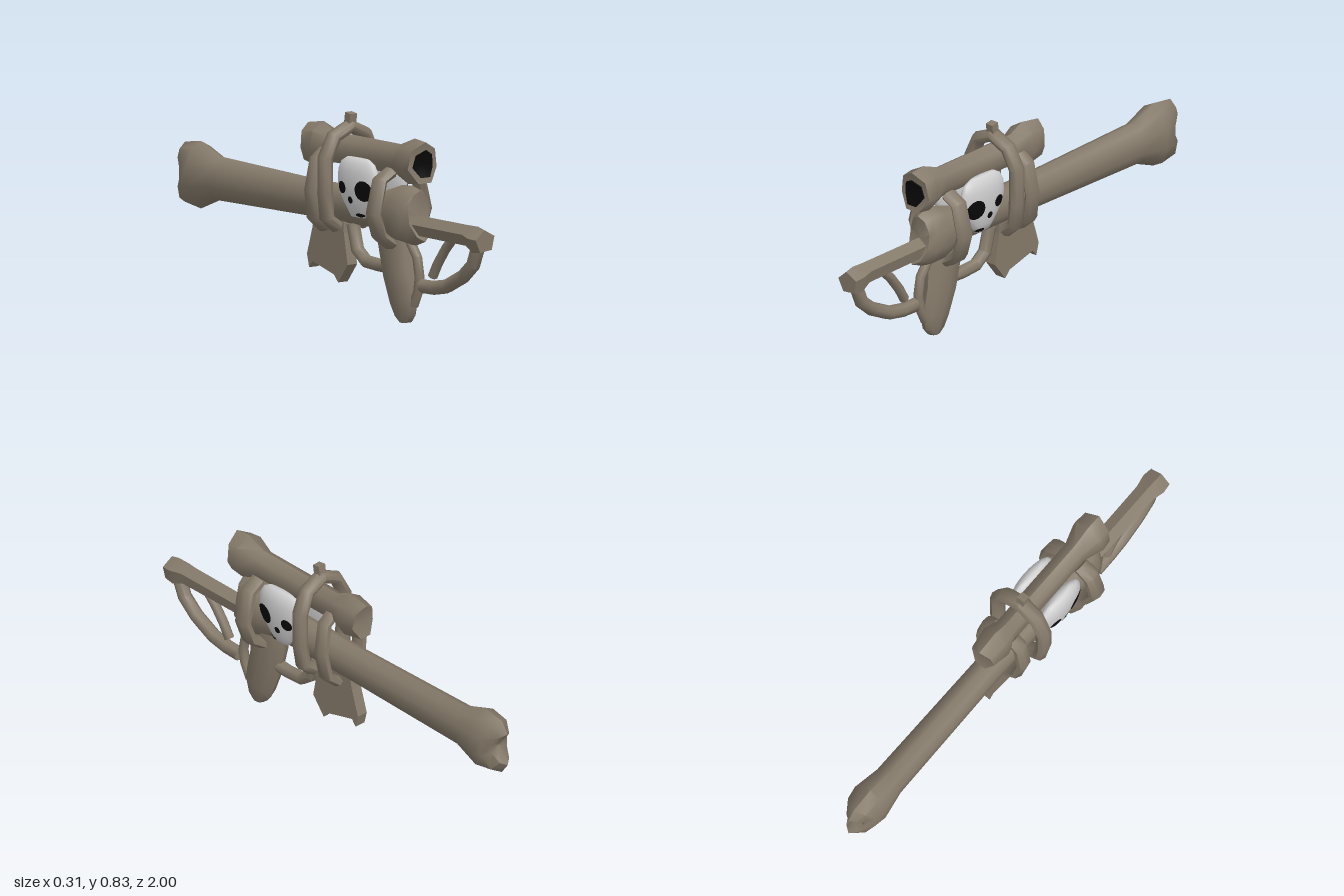
import * as THREE from 'three';
import { toCreasedNormals } from 'three/addons/utils/BufferGeometryUtils.js';

const X = new THREE.Vector3(1, 0, 0), Y = new THREE.Vector3(0, 1, 0), Z = new THREE.Vector3(0, 0, 1);

// Closed limb through points [x, y, z, radius along up, radius across, notch];
// notch pushes the two lobes of a bone end along the z axis.
function limb(points, up, sides, crease = 0.95, phase = 0) {
  const centres = points.map(p => new THREE.Vector3(p[0], p[1], p[2]));
  const pos = [], index = [], last = points.length - 1;
  points.forEach((p, i) => {
    const t = centres[Math.min(i + 1, last)].clone().sub(centres[Math.max(i - 1, 0)]).normalize();
    const n = t.clone().cross(up).normalize();
    const u = n.clone().cross(t);
    for (let j = 0; j < sides; j++) {
      const a = phase + j / sides * Math.PI * 2, c = Math.cos(a);
      const v = centres[i].clone().addScaledVector(u, c * p[3]).addScaledVector(n, Math.sin(a) * p[4]);
      v.z += (p[5] || 0) * c * c;
      pos.push(v.x, v.y, v.z);
    }
  });
  const startCap = points.length * sides, endCap = startCap + 1;
  pos.push(...centres[0].toArray(), ...centres[last].toArray());
  for (let j = 0; j < sides; j++) {
    const k = (j + 1) % sides;
    for (let i = 0; i < last; i++) {
      const a = i * sides + j, b = i * sides + k;
      index.push(a, b, a + sides, b, b + sides, a + sides);
    }
    index.push(startCap, k, j, endCap, last * sides + j, last * sides + k);
  }
  const g = new THREE.BufferGeometry();
  g.setAttribute('position', new THREE.Float32BufferAttribute(pos, 3));
  g.setIndex(index);
  return toCreasedNormals(g, crease);
}

export function createModel() {
  const group = new THREE.Group();
  const bone = new THREE.MeshStandardMaterial({ color: 0x857a6a });
  const white = new THREE.MeshStandardMaterial({ color: 0xcfcfcf });
  const black = new THREE.MeshStandardMaterial({ color: 0x080808, side: THREE.DoubleSide });
  bone.name = 'bone'; white.name = 'skullWhite'; black.name = 'black';
  const add = (name, geometry, material = bone) => {
    const m = new THREE.Mesh(geometry, material);
    m.name = name;
    group.add(m);
    return m;
  };

  // Long body bone with a knuckled stock end
  add('bodyBone', limb([
    [0, 0.45, -0.945, 0.075, 0.045, -0.055], [0, 0.45, -0.91, 0.125, 0.076, -0.055],
    [0, 0.45, -0.86, 0.14, 0.085], [0, 0.45, -0.74, 0.092, 0.066],
    [0, 0.447, -0.1, 0.079, 0.06], [0, 0.45, 0.34, 0.08, 0.063],
    [0, 0.45, 0.46, 0.12, 0.085], [0, 0.45, 0.53, 0.125, 0.078], [0, 0.455, 0.56, 0.105, 0.055, 0.03],
  ], Y, 10));

  // Seven-sided scope bone and its dark lens
  add('scope', limb([
    [0, 0.675, -0.135, 0.08, 0.06, -0.025], [0, 0.675, -0.06, 0.097, 0.075],
    [0, 0.673, 0.01, 0.065, 0.053], [0, 0.673, 0.45, 0.065, 0.053],
    [0, 0.675, 0.54, 0.097, 0.084], [0, 0.675, 0.585, 0.09, 0.078, 0.025],
  ], Y, 7));
  add('scopeLens', limb([[0, 0.673, 0.585, 0.06, 0.052, 0.025], [0, 0.673, 0.591, 0.06, 0.052, 0.025]], Y, 7), black);

  // Five-sided barrel
  add('barrel', limb([
    [0, 0.415, 0.5, 0.043, 0.043], [0, 0.413, 0.9, 0.045, 0.045],
    [0, 0.402, 0.955, 0.058, 0.058], [0, 0.4, 1, 0.05, 0.052],
  ], Y, 5, 0.6, 0.12));

  // Curved bones hanging below the barrel and around the grip
  const curved = (name, points, r) => add(name, limb(points.map(([z, y]) => [0, y, z, r, r]), X, 7));
  curved('barrelCurve', [[0.955, 0.38], [0.92, 0.295], [0.85, 0.235], [0.75, 0.185], [0.67, 0.17], [0.59, 0.168]], 0.03);
  curved('barrelStrut', [[0.79, 0.39], [0.74, 0.34], [0.69, 0.275], [0.655, 0.215]], 0.021);
  curved('gripSpur', [[0.51, 0.34], [0.555, 0.28], [0.57, 0.2], [0.56, 0.14], [0.53, 0.08]], 0.021);
  curved('triggerGuard', [[0.39, 0.225], [0.31, 0.22], [0.22, 0.225], [0.165, 0.265], [0.135, 0.37]], 0.028);

  // Grip
  add('grip', limb([
    [0, 0.4, 0.405, 0.05, 0.09], [0, 0.33, 0.415, 0.052, 0.1], [0, 0.2, 0.437, 0.05, 0.088],
    [0, 0.09, 0.47, 0.043, 0.08], [0, 0.03, 0.476, 0.033, 0.056], [0, 0.003, 0.478, 0.024, 0.028],
  ], X, 9));

  // Flat blade-bone magazine
  const outline = [[0.1, 0.4], [0.105, 0.33], [0.13, 0.2], [0.068, 0.12], [0.04, 0.15], [-0.1, 0.188],
    [-0.122, 0.16], [-0.136, 0.215], [-0.1, 0.33], [-0.085, 0.4]];
  const blade = new THREE.ExtrudeGeometry(new THREE.Shape(outline.map(p => new THREE.Vector2(...p))),
    { depth: 0.05, bevelEnabled: false });
  blade.rotateY(-Math.PI / 2).translate(0.025, 0, 0);
  add('magazine', blade);

  // Rib hoop over the scope, with a sight on top
  const half = [[0.06, 0.36, 0.1], [0.11, 0.4, 0.1], [0.122, 0.5, 0.105], [0.122, 0.65, 0.105], [0.08, 0.735, 0.11]];
  const flip = ([x, y, z]) => [-x, y, z];
  const hoop = [...half, [0, 0.772, 0.112], ...half.map(flip).reverse()];
  add('middleRib', limb(hoop.map(p => [...p, 0.036, 0.029]), Z, 8));
  const sight = add('sight', new THREE.BoxGeometry(0.036, 0.05, 0.035));
  sight.position.set(0, 0.803, 0.118);
  sight.rotation.x = 0.15;

  // Skull mask profile: [y, depth, half width]
  const skull = [[0.42, 0.012, 0.045], [0.45, 0.024, 0.066], [0.48, 0.03, 0.09], [0.52, 0.036, 0.118],
    [0.56, 0.039, 0.126], [0.61, 0.038, 0.123], [0.645, 0.028, 0.105], [0.665, 0.012, 0.07]];
  const skullX = 0.075, skullZ = 0.263;
  const surface = (z, y) => {
    let i = 0;
    while (i < skull.length - 2 && skull[i + 1][0] < y) i++;
    const a = skull[i], b = skull[i + 1];
    const t = THREE.MathUtils.clamp((y - a[0]) / (b[0] - a[0]), 0, 1);
    const d = (z - skullZ) / THREE.MathUtils.lerp(a[2], b[2], t);
    return skullX + THREE.MathUtils.lerp(a[1], b[1], t) * Math.sqrt(Math.max(0, 1 - d * d));
  };
  // Dark features: [name, z, y, radius z, radius y]
  const features = [['largeEye', 0.333, 0.537, 0.045, 0.043], ['smallEye', 0.2, 0.54, 0.028, 0.026],
    ['nose', 0.254, 0.493, 0.015, 0.015], ['mouth', 0.295, 0.432, 0.022, 0.008]];

  for (const s of [1, -1]) {
    const side = s > 0 ? 'left' : 'right';
    add(side + 'Skull', limb(skull.map(([y, d, w]) => [s * skullX, y, skullZ, d, w]), X, 24, 1.2), white);
    for (const [name, z0, y0, rz, ry] of features) {
      const g = new THREE.RingGeometry(0.001, 1, 16, 5);
      const p = g.attributes.position;
      for (let i = 0; i < p.count; i++) {
        const z = z0 + p.getX(i) * rz, y = y0 + p.getY(i) * ry;
        p.setXYZ(i, s * (surface(z, y) + 0.004), y, z);
      }
      g.computeVertexNormals();
      add(side + name[0].toUpperCase() + name.slice(1), g, black);
    }

    // Side ribs, open at top and bottom
    const rib = (name, points, rz, r) =>
      add(side + name, limb(points.map(([x, y, z], i) => [s * x, y, z, rz + i * 0.002, r]), Z, 7));
    rib('FrontRib', [[0.045, 0.625, 0.435], [0.1, 0.595, 0.435], [0.133, 0.46, 0.435], [0.1, 0.365, 0.43], [0.04, 0.325, 0.425]], 0.038, 0.025);
    rib('BackRib', [[0.045, 0.66, 0], [0.085, 0.63, 0], [0.108, 0.5, -0.005], [0.088, 0.385, -0.012], [0.035, 0.342, -0.015]], 0.033, 0.023);
  }
  return group;
}
